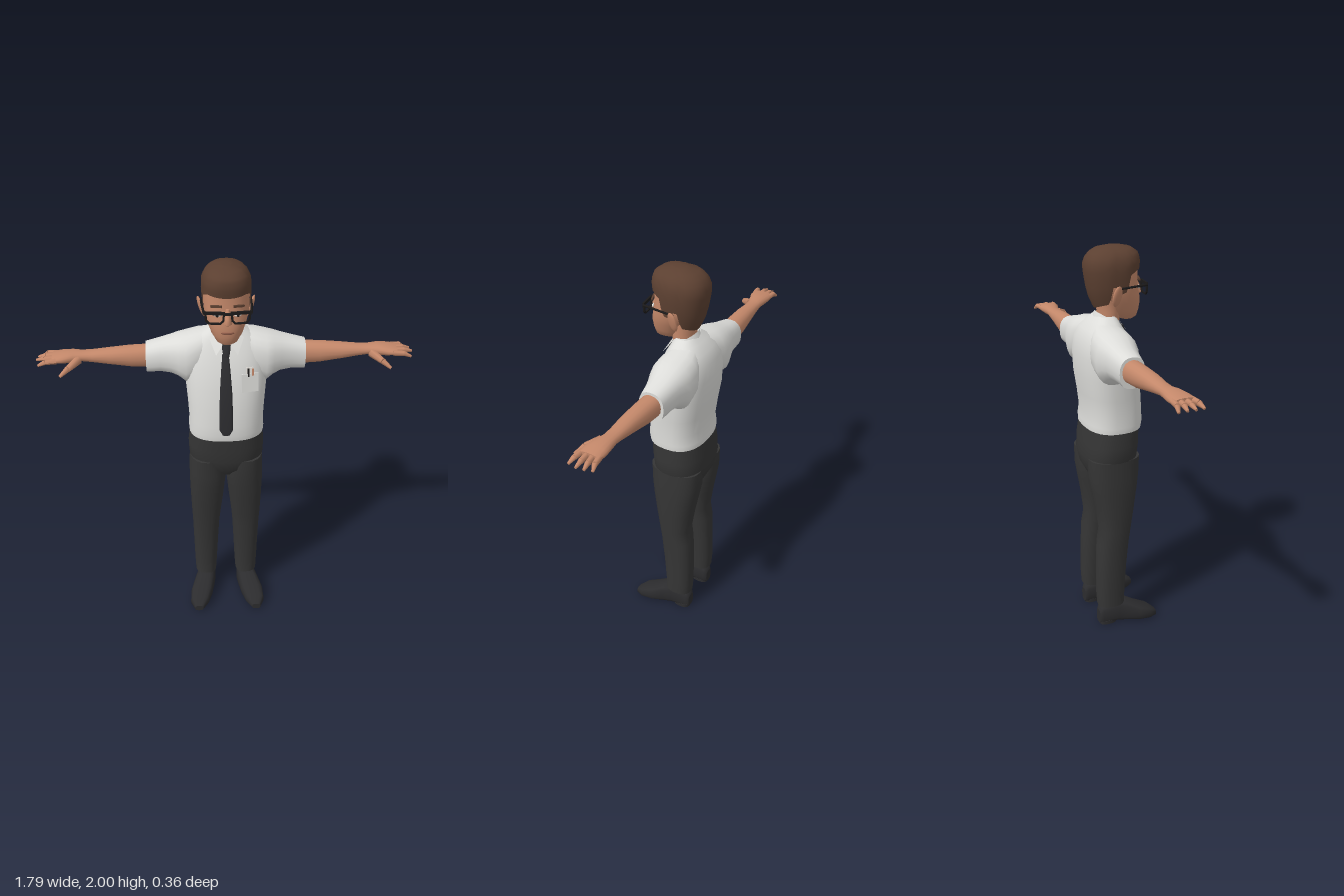
import * as THREE from 'three';

const mat = (name, color, side = THREE.FrontSide) => {
  const m = new THREE.MeshStandardMaterial({ color, side });
  m.name = name;
  return m;
};

// Superellipse coordinate on a unit ring
const sup = (c, n) => Math.sign(c) * Math.pow(Math.abs(c), 2 / n);

// Loft through rows [t, aLo, aHi, bLo, bHi, tilt]; a and b follow the axis: y -> x,z  x -> z,y  z -> y,x
function loft(axis, rows, { n = 2.4, segs = 20, caps = true } = {}) {
  const pos = [], idx = [];
  const put = (t, a, b) => {
    if (axis === 'y') pos.push(a, t, b);
    else if (axis === 'x') pos.push(t, b, a);
    else pos.push(b, a, t);
    return pos.length / 3 - 1;
  };
  const ring = ([t, aLo, aHi, bLo, bHi, tilt = 0]) => {
    const first = pos.length / 3;
    for (let i = 0; i < segs; i++) {
      const w = (i / segs) * Math.PI * 2, c = sup(Math.cos(w), n), s = sup(Math.sin(w), n);
      put(t + tilt * s, (aLo + aHi) / 2 + c * (aHi - aLo) / 2, (bLo + bHi) / 2 + s * (bHi - bLo) / 2);
    }
    return first;
  };
  const starts = rows.map(ring);
  for (let r = 0; r < rows.length - 1; r++) {
    for (let i = 0; i < segs; i++) {
      const j = (i + 1) % segs, a = starts[r], b = starts[r + 1];
      idx.push(a + i, b + i, a + j, a + j, b + i, b + j);
    }
  }
  if (caps) {
    [rows[0], rows[rows.length - 1]].forEach((row, end) => {
      const f = ring(row), c = put(row[0], (row[1] + row[2]) / 2, (row[3] + row[4]) / 2);
      for (let i = 0; i < segs; i++) {
        const j = (i + 1) % segs;
        if (end) idx.push(c, f + j, f + i); else idx.push(c, f + i, f + j);
      }
    });
  }
  return build(pos, idx);
}

function build(pos, idx) {
  const g = new THREE.BufferGeometry();
  g.setAttribute('position', new THREE.Float32BufferAttribute(pos, 3));
  g.setIndex(idx);
  g.computeVertexNormals();
  return g;
}

// Mirror an indexed geometry across x
function mirror(src) {
  const g = src.clone(), p = g.attributes.position, ix = g.index.array;
  for (let i = 0; i < p.count; i++) p.setX(i, -p.getX(i));
  for (let i = 0; i < ix.length; i += 3) [ix[i], ix[i + 1]] = [ix[i + 1], ix[i]];
  g.computeVertexNormals();
  return g;
}

// Tapered rod between two points
function rod(p, q, r0, r1, sides = 7) {
  const a = new THREE.Vector3(...p), b = new THREE.Vector3(...q), d = b.clone().sub(a);
  const g = new THREE.CylinderGeometry(r1, r0, d.length(), sides);
  g.applyQuaternion(new THREE.Quaternion().setFromUnitVectors(new THREE.Vector3(0, 1, 0), d.normalize()));
  return g.translate((p[0] + q[0]) / 2, (p[1] + q[1]) / 2, (p[2] + q[2]) / 2);
}

// Linear lookup in rows sorted by their first value
function lookup(rows, t) {
  let i = 0;
  while (i < rows.length - 2 && t > rows[i + 1][0]) i++;
  const k = Math.min(1, Math.max(0, (t - rows[i][0]) / (rows[i + 1][0] - rows[i][0])));
  return rows[i].map((v, c) => v + (rows[i + 1][c] - v) * k);
}

// Hair shell whose lower edge follows the hairline
function hairGeometry() {
  const profile = [[1.70, .07, .11, -.085], [1.75, .093, .13, -.112], [1.80, .106, .128, -.126], [1.88, .113, .12, -.14],
    [1.93, .111, .126, -.142], [1.965, .095, .118, -.122], [1.988, .068, .085, -.085], [2.0, .02, .03, -.03]];
  const line = [[0, 1.885], [.8, 1.892], [1.2, 1.875], [1.38, 1.80], [1.58, 1.79], [1.72, 1.83], [1.9, 1.82], [2.0, 1.745], [3.15, 1.715]];
  const U = 48, V = 10, pos = [], idx = [];
  for (let v = 0; v <= V; v++) {
    for (let u = 0; u < U; u++) {
      const w = (u / U) * Math.PI * 2, low = lookup(line, Math.min(w, Math.PI * 2 - w))[1];
      const y = low + (2 - low) * Math.sin((v / V) * Math.PI / 2);
      const [, hx, zf, zb] = lookup(profile, y);
      pos.push(sup(Math.sin(w), 2.3) * hx, y, (zf + zb) / 2 + sup(Math.cos(w), 2.3) * (zf - zb) / 2);
    }
  }
  for (let v = 0; v < V; v++) for (let u = 0; u < U; u++) {
    const a = v * U + u, b = v * U + (u + 1) % U;
    idx.push(a, b, a + U, b, b + U, a + U);
  }
  const c = pos.push(0, 2, 0) / 3 - 1;
  for (let u = 0; u < U; u++) idx.push(V * U + u, V * U + (u + 1) % U, c);
  return build(pos, idx);
}

export function createModel() {
  const model = new THREE.Group();
  model.name = 'officeWorker';
  const skin = mat('skin', 0xc4886a), hair = mat('hair', 0x5c4031, THREE.DoubleSide);
  const shirt = mat('shirt', 0xdddddA, THREE.DoubleSide), trouser = mat('trousers', 0x353535);
  const tieMat = mat('tie', 0x2d2d30), shoe = mat('shoes', 0x2c2c2e), frame = mat('glasses', 0x1c1a1a);
  const lip = mat('lips', 0x9c6450), white = mat('eyeWhite', 0xe8e4de);

  const add = (name, g, m) => {
    const mesh = new THREE.Mesh(g, m);
    mesh.name = name;
    model.add(mesh);
    return mesh;
  };
  const pair = (name, g, m) => {
    add(name + 'Left', g, m);
    add(name + 'Right', mirror(g), m);
  };
  const sym = rows => rows.map(([y, h, ...rest]) => [y, -h, h, ...rest]);

  // Trousers and shoes
  add('trouserSeat', loft('y', sym([[.87, .09, -.14, .05], [.92, .165, -.165, .085], [.98, .188, -.174, .098],
    [1.05, .19, -.17, .105], [1.16, .178, -.155, .11]]), { n: 2.5, segs: 28 }), trouser);
  pair('trouserLeg', loft('y', [[.12, .055, .172, -.135, .012], [.2, .05, .175, -.14, .012], [.35, .043, .178, -.138, .022],
    [.5, .035, .181, -.132, .036], [.58, .028, .184, -.118, .046], [.7, .014, .188, -.134, .065],
    [.8, .004, .19, -.152, .08], [.88, -.005, .19, -.166, .09], [.98, 0, .186, -.168, .094]]), trouser);
  pair('shoe', loft('z', [[-.13, 0, .08, .08, .135], [-.115, 0, .115, .066, .15], [-.03, 0, .14, .06, .165],
    [.02, 0, .125, .068, .182], [.08, 0, .092, .082, .204], [.14, 0, .068, .105, .207], [.18, 0, .035, .138, .185]],
    { n: 3, segs: 16 }), shoe);
  pair('shoeSole', loft('y', [[0, .068, .152, -.13, -.035], [.02, .068, .152, -.13, -.035]], { n: 3, segs: 14 }), shoe);

  // Shirt
  add('shirtBody', loft('y', sym([[1.13, .184, -.162, .12], [1.16, .186, -.163, .124], [1.21, .182, -.156, .122],
    [1.3, .187, -.166, .115], [1.4, .195, -.18, .1], [1.5, .196, -.182, .078], [1.57, .19, -.172, .05],
    [1.62, .158, -.148, .03], [1.655, .105, -.115, .012], [1.68, .07, -.09, 0]]), { n: 2.5, segs: 32 }), shirt);
  pair('sleeve', loft('x', [[.06, -.14, .01, 1.47, 1.662], [.13, -.17, .04, 1.42, 1.65], [.19, -.168, .045, 1.39, 1.637],
    [.225, -.16, .033, 1.42, 1.627], [.26, -.15, .018, 1.435, 1.615], [.31, -.142, .003, 1.44, 1.6],
    [.378, -.133, -.008, 1.435, 1.582]]), shirt);
  add('collarBand', loft('y', sym([[1.62, .092, -.108, .036, -.03], [1.667, .076, -.086, .024, -.03]]), { n: 2, caps: false }), shirt);
  pair('collarPoint', build([.006, 1.637, .036, .05, 1.578, .066, .08, 1.642, .014, .055, 1.668, -.002], [0, 1, 2, 0, 2, 3]), shirt);

  // Tie follows the slope of the chest
  const tieRow = (y, h, z) => [y, -h - .006, h - .006, z - .012, z + .008];
  add('tieBlade', loft('y', [tieRow(1.172, .018, .123), tieRow(1.2, .033, .123), tieRow(1.3, .032, .116), tieRow(1.4, .029, .101),
    tieRow(1.5, .022, .079), tieRow(1.575, .015, .05)], { n: 4, segs: 12 }), tieMat);
  add('tieKnot', loft('y', [[1.565, -.016, .012, .03, .066], [1.585, -.02, .016, .02, .063], [1.622, -.024, .02, .01, .05]], { n: 3, segs: 12 }), tieMat);

  // Chest pocket with pens
  const pocket = new THREE.Group();
  pocket.name = 'chestPocket';
  pocket.position.set(.108, 1.45, .086);
  pocket.rotation.set(-.2, .28, 0);
  model.add(pocket);
  const item = (name, w, h, d, x, y, z, m) => {
    const b = new THREE.Mesh(new THREE.BoxGeometry(w, h, d), m);
    b.name = name;
    b.position.set(x, y, z);
    pocket.add(b);
  };
  item('pocketPatch', .085, .09, .008, 0, -.01, -.006, shirt);
  item('pocketCard', .035, .03, .006, 0, .05, -.008, white);
  item('penDark', .006, .04, .006, -.008, .042, -.002, frame);
  item('penBrown', .008, .034, .006, .014, .042, -.002, skin);

  // Arms and hands
  pair('arm', loft('x', [[.34, -.122, -.02, 1.458, 1.57], [.45, -.116, -.018, 1.465, 1.568], [.55, -.106, -.018, 1.483, 1.561],
    [.63, -.098, -.024, 1.497, 1.553], [.68, -.095, -.024, 1.505, 1.551], [.72, -.1, -.014, 1.503, 1.556],
    [.77, -.106, .002, 1.506, 1.552], [.815, -.104, .004, 1.511, 1.544]], { n: 2.2, segs: 16 }), skin);
  [[.868, 1.508, -.104, -.09], [.886, 1.518, -.075, -.064], [.892, 1.52, -.04, -.037], [.88, 1.514, .004, -.009]].forEach(([x, y, z, z0], i) => {
    const mid = [(x + .8) / 2 + .006, 1.527, (z + z0) / 2];
    pair('finger' + (i + 1) + 'Base', rod([.795, 1.528, z0], mid, .014, .0125), skin);
    pair('finger' + (i + 1) + 'Tip', rod(mid, [x, y, z], .0125, .006), skin);
  });
  pair('thumbBase', rod([.695, 1.522, -.03], [.74, 1.503, .022], .022, .015), skin);
  pair('thumbTip', rod([.74, 1.503, .022], [.778, 1.478, .05], .015, .007), skin);

  // Head
  add('neck', loft('y', sym([[1.6, .07, -.09, .025], [1.7, .062, -.078, .03], [1.79, .072, -.105, .02]]), { n: 2 }), skin);
  add('head', loft('y', sym([[1.65, .026, .045, .1], [1.665, .05, .005, .118], [1.7, .072, -.03, .126], [1.74, .086, -.05, .13],
    [1.78, .1, -.09, .124], [1.82, .104, -.113, .116], [1.88, .106, -.126, .114], [1.93, .1, -.125, .112], [1.97, .07, -.08, .08]]),
    { n: 2.2, segs: 28 }), skin);
  add('hair', hairGeometry(), hair);
  add('nose', loft('y', [[1.764, -.012, .012, .11, .14], [1.775, -.02, .02, .11, .156], [1.8, -.013, .013, .105, .14],
    [1.835, -.009, .009, .1, .123]], { n: 2, segs: 10 }), skin);
  add('mouth', loft('y', [[1.716, -.022, .022, .11, .129], [1.722, -.032, .032, .11, .1325], [1.728, -.026, .026, .11, .132]], { n: 2.2, segs: 12 }), lip);
  const ear = new THREE.SphereGeometry(1, 12, 8).scale(.011, .052, .026).rotateZ(-.28).rotateY(-.25).translate(.114, 1.785, -.026);
  pair('ear', ear, skin);
  pair('eye', new THREE.SphereGeometry(1, 10, 6).scale(.017, .008, .005).rotateY(.25).translate(.046, 1.805, .112), white);
  pair('iris', new THREE.SphereGeometry(1, 8, 6).scale(.007, .007, .004).translate(.046, 1.805, .117), frame);
  pair('eyebrow', new THREE.BoxGeometry(.05, .01, .008).rotateZ(-.08).rotateY(.3).translate(.05, 1.846, .11), hair);

  // Glasses
  const rim = new THREE.Shape([[-.046, .03], [.046, .03], [.042, -.014], [.026, -.03], [-.026, -.03], [-.042, -.014]].map(p => new THREE.Vector2(...p)));
  rim.holes.push(new THREE.Path([[-.036, .016], [-.033, -.011], [-.022, -.023], [.022, -.023], [.033, -.011], [.036, .016]].map(p => new THREE.Vector2(...p))));
  for (const s of [1, -1]) {
    const g = new THREE.ExtrudeGeometry(rim, { depth: .008, bevelEnabled: false });
    add(s > 0 ? 'rimLeft' : 'rimRight', g.rotateY(s * .12).translate(s * .057, 1.803, .131), frame);
  }
  add('glassesBridge', new THREE.BoxGeometry(.03, .009, .008).translate(0, 1.822, .14), frame);
  pair('glassesTemple', rod([.104, 1.824, .13], [.116, 1.818, -.03], .006, .005, 6), frame);

  return model;
}
